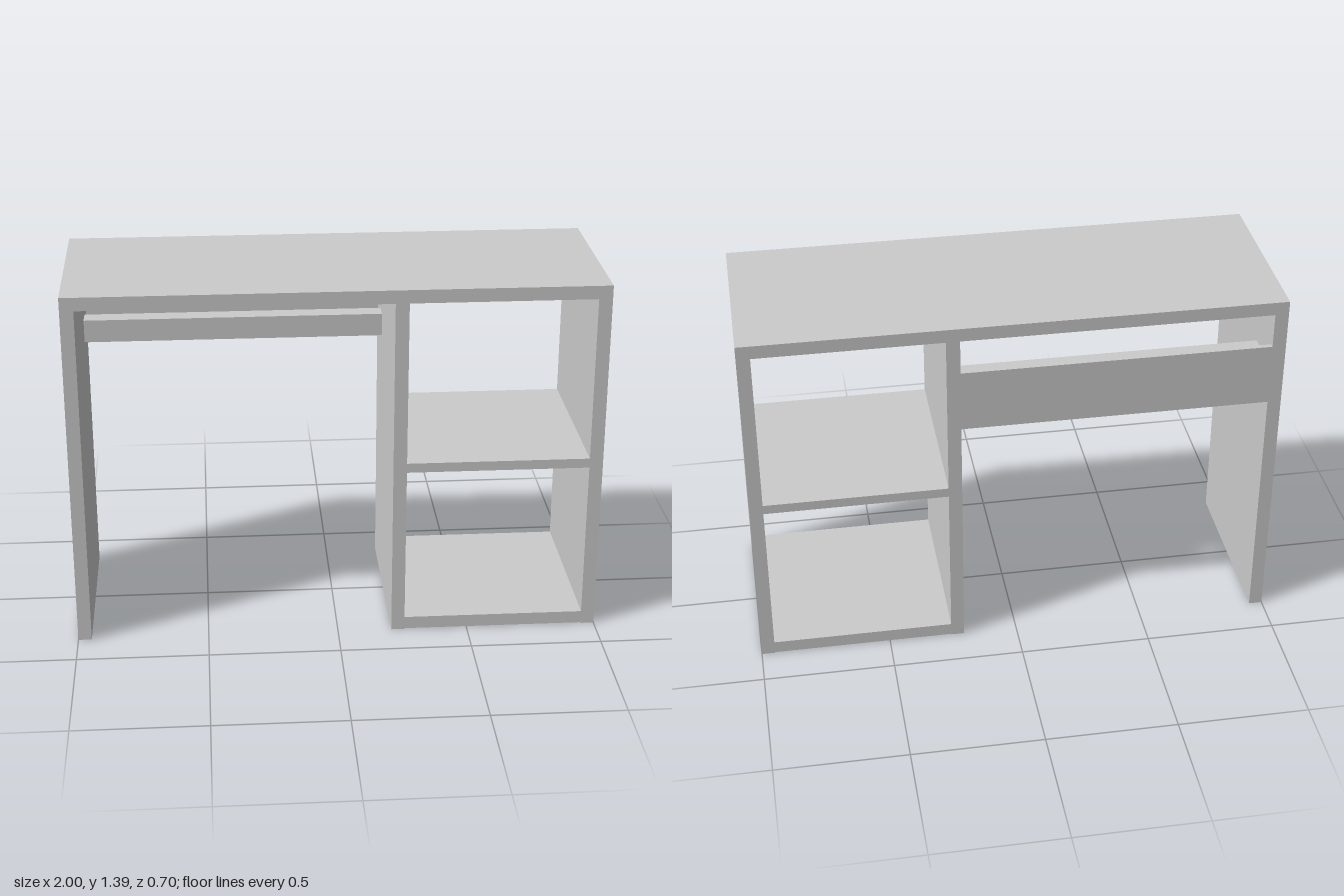
import * as THREE from 'three';

export function createModel() {
  const desk = new THREE.Group();
  desk.name = 'desk';
  const material = new THREE.MeshStandardMaterial({ color: 0xcccccc, flatShading: true });

  // Adds a board spanning the given [min, max] ranges
  function board(name, [x0, x1], [y0, y1], [z0, z1] = [-0.35, 0.35]) {
    const mesh = new THREE.Mesh(new THREE.BoxGeometry(x1 - x0, y1 - y0, z1 - z0), material);
    mesh.position.set((x0 + x1) / 2, (y0 + y1) / 2, (z0 + z1) / 2);
    mesh.name = name;
    desk.add(mesh);
  }

  // Desktop
  board('desktop', [-1, 1], [1.337, 1.388]);

  // Upright panels
  board('rightSidePanel', [-1, -0.949], [0, 1.337]);
  board('dividerPanel', [0.207, 0.258], [0, 1.337]);
  board('leftSidePanel', [0.949, 1], [0, 1.337]);

  // Open shelves between the divider and the left side
  board('bottomShelf', [0.258, 0.949], [0.003, 0.052]);
  board('middleShelf', [0.258, 0.949], [0.666, 0.703]);

  // Back board and the rail in front of it, across the knee space
  board('backBoard', [-0.949, 0.207], [0.963, 1.203], [-0.35, -0.332]);
  board('kneeSpaceRail', [-0.949, 0.207], [1.03, 1.117], [-0.228, -0.158]);

  return desk;
}
